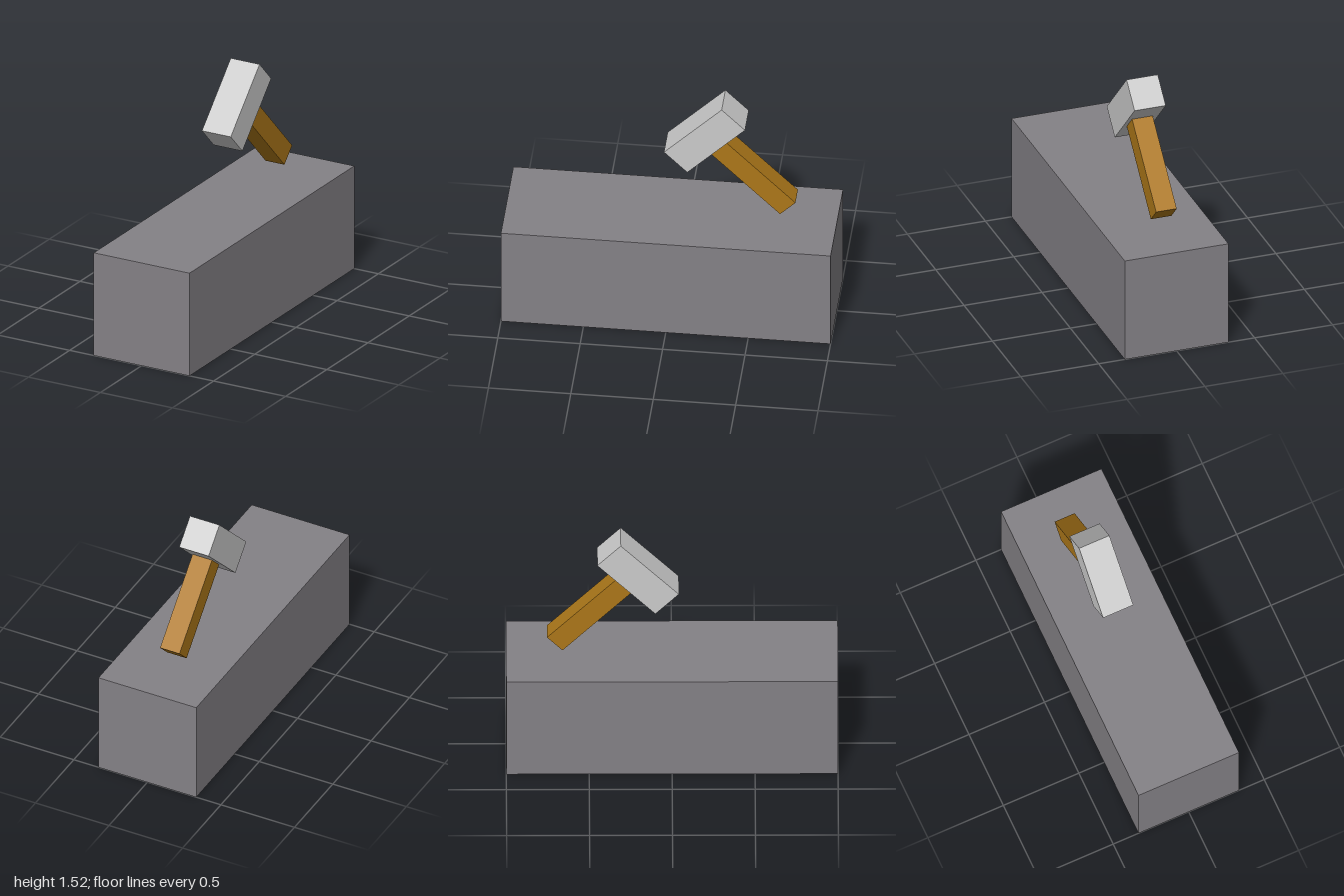
import * as THREE from 'three';

function box(name, color, size, position) {
  const material = new THREE.MeshStandardMaterial({ color });
  const mesh = new THREE.Mesh(new THREE.BoxGeometry(...size), material);
  mesh.name = name;
  mesh.position.set(...position);
  return mesh;
}

export function createModel() {
  const model = new THREE.Group();
  model.name = 'hammerOverBlock';

  // Long block resting on the ground
  model.add(box('block', 0x848186, [0.665, 0.667, 2], [0, 0.3335, 0]));

  // Hammer tilted 45 degrees, its origin at the centre of the head
  const hammer = new THREE.Group();
  hammer.name = 'hammer';
  hammer.position.set(-0.03, 1.27, -0.205);
  hammer.rotation.x = Math.PI / 4;
  hammer.add(
    box('hammerHead', 0xcccccc, [0.2, 0.2, 0.495], [0, 0, 0]),
    box('hammerHandle', 0xac7719, [0.132, 0.67, 0.132], [0.006, -0.365, -0.01]),
  );
  model.add(hammer);

  return model;
}
